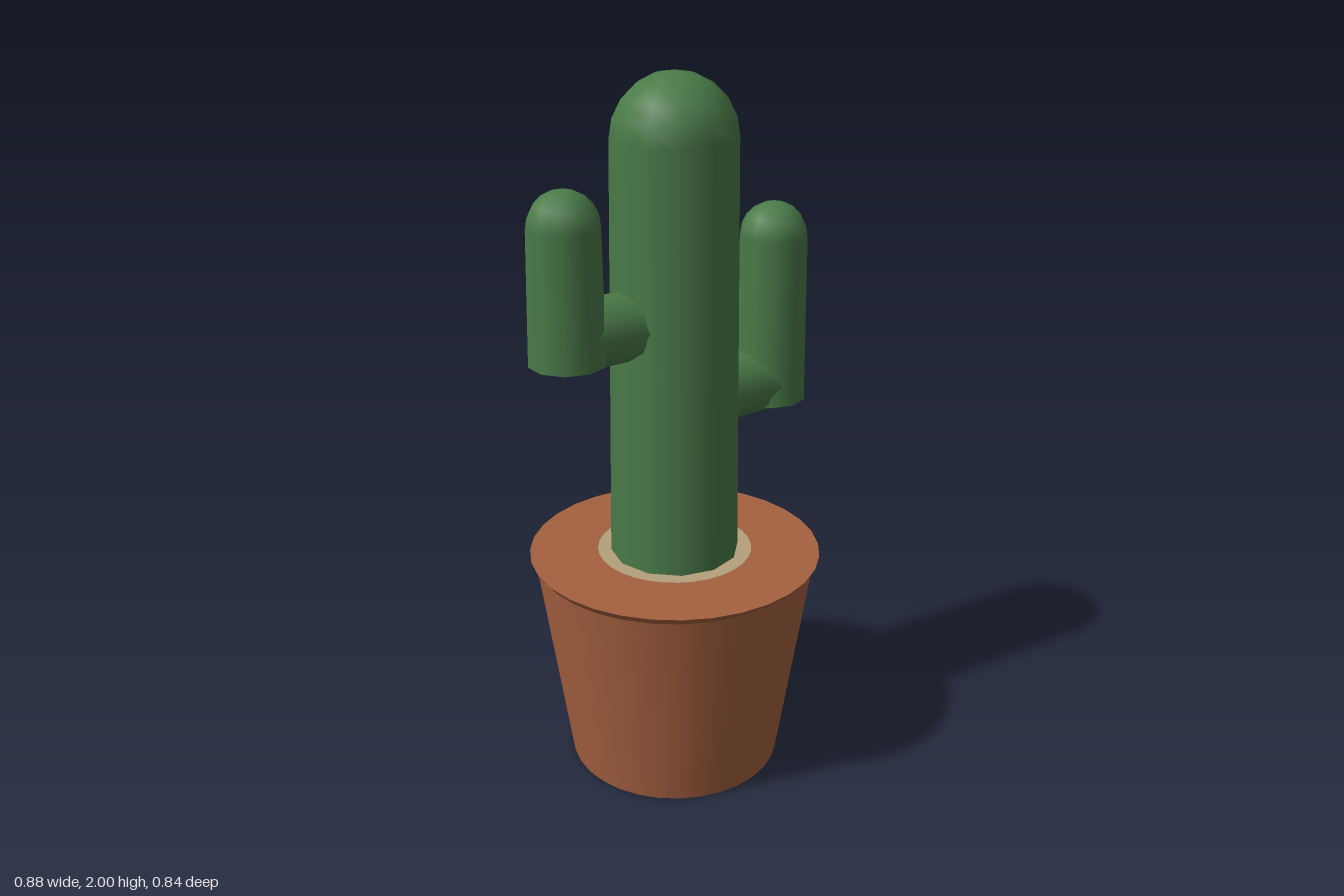
import * as THREE from 'three';

const green = new THREE.MeshStandardMaterial({ color: 0x4a7a48 });
const clay = new THREE.MeshStandardMaterial({ color: 0xa56040 });
const sand = new THREE.MeshStandardMaterial({ color: 0xb3a07c });

function add(parent, name, geometry, material, x = 0, y = 0, z = 0) {
  const mesh = new THREE.Mesh(geometry, material);
  mesh.name = name;
  mesh.position.set(x, y, z);
  parent.add(mesh);
  return mesh;
}

// Tapered stem with a rounded top; bottom and top are heights above the ground
function addStem(parent, name, x, bottom, top, rBottom, rTop, sides) {
  const stem = new THREE.Group();
  stem.name = name;
  const height = top - rTop - bottom;
  add(stem, name + 'Column', new THREE.CylinderGeometry(rTop, rBottom, height, sides), green, x, bottom + height / 2);
  const dome = new THREE.SphereGeometry(rTop, sides, 5, 0, Math.PI * 2, 0, Math.PI / 2);
  dome.rotateY(Math.PI / 2); // line the dome's corners up with the column's
  add(stem, name + 'Dome', dome, green, x, top - rTop);
  parent.add(stem);
}

// Upright arm joined to the trunk by a short horizontal branch
function addArm(parent, name, side, bottom, top, branchY) {
  const arm = new THREE.Group();
  arm.name = name;
  addStem(arm, name + 'Stem', side * 0.343, bottom, top, 0.104, 0.097, 10);
  const branch = new THREE.CylinderGeometry(0.093, 0.093, 0.225, 10);
  branch.rotateZ(Math.PI / 2);
  add(arm, name + 'Branch', branch, green, side * 0.2125, branchY);
  parent.add(arm);
}

export function createModel() {
  const model = new THREE.Group();
  model.name = 'pottedCactus';

  // Pot: tapered body, then a slightly flared lip
  const pot = new THREE.Group();
  pot.name = 'pot';
  add(pot, 'potBody', new THREE.CylinderGeometry(0.402, 0.31, 0.635, 32), clay, 0, 0.3175);
  add(pot, 'potLip', new THREE.CylinderGeometry(0.418, 0.402, 0.022, 32), clay, 0, 0.643);
  model.add(pot);

  // Thin ring of soil around the trunk
  const soil = new THREE.CircleGeometry(0.222, 32);
  soil.rotateX(-Math.PI / 2);
  add(model, 'soil', soil, sand, 0, 0.657);

  addStem(model, 'trunk', 0, 0.64, 2, 0.184, 0.17, 12);
  addArm(model, 'leftArm', 1, 1.045, 1.62, 1.107);
  addArm(model, 'rightArm', -1, 1.29, 1.742, 1.355);
  return model;
}
